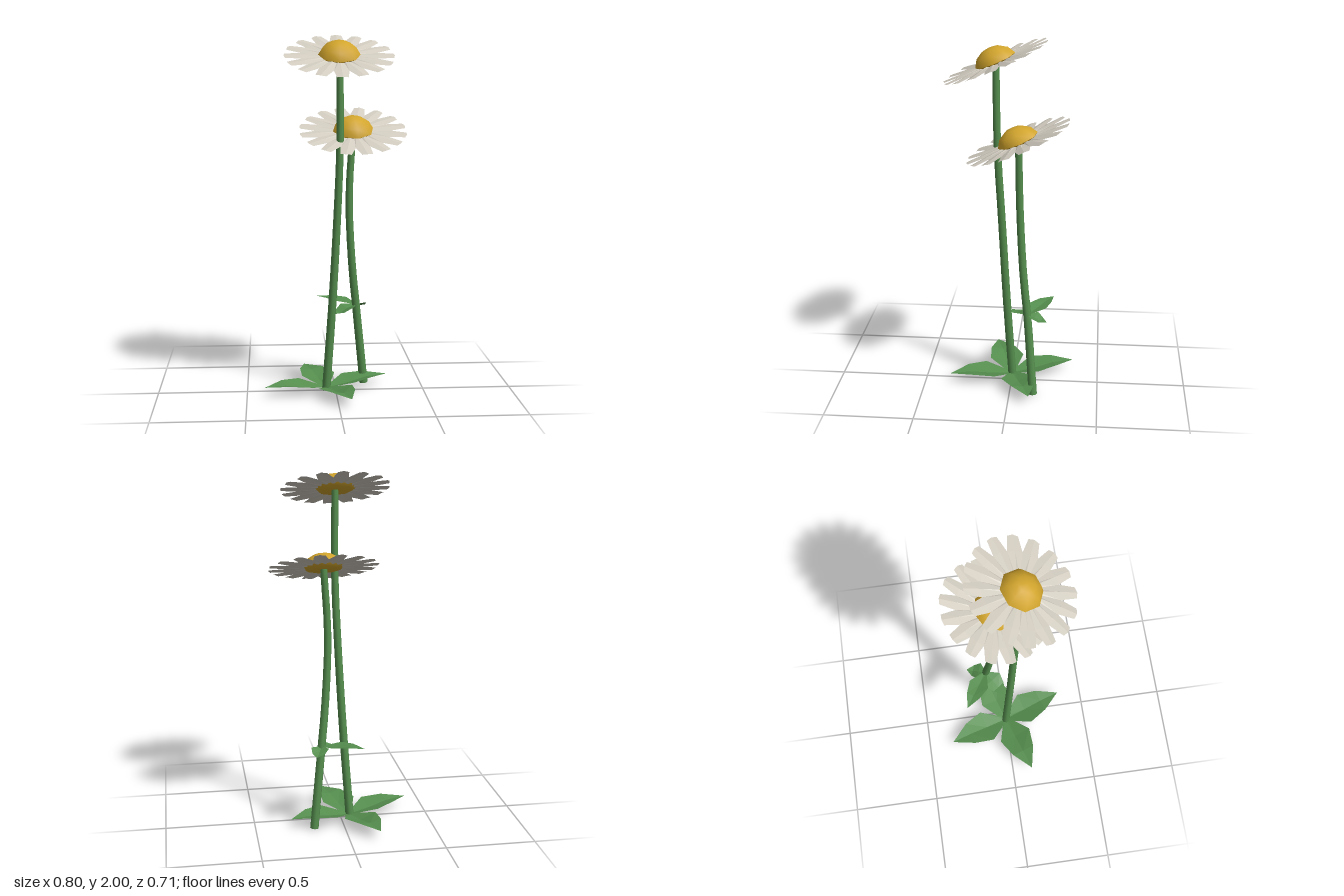
import * as THREE from 'three';
import { toCreasedNormals } from 'three/addons/utils/BufferGeometryUtils.js';

const mat = (name, color, side = THREE.FrontSide) =>
  Object.assign(new THREE.MeshStandardMaterial({ color, side }), { name });
const V = (x, y, z) => new THREE.Vector3(x, y, z);

// Faceted sheet through rows of [left, middle, right] points
function sheet(strips) {
  const pos = [];
  const tri = (...pts) => pts.forEach((p) => pos.push(p.x, p.y, p.z));
  for (const rows of strips) {
    for (let i = 0; i < rows.length - 1; i++) {
      for (let j = 0; j < 2; j++) {
        const a = rows[i][j], b = rows[i][j + 1], c = rows[i + 1][j + 1], d = rows[i + 1][j];
        tri(a, b, c);
        if (c.distanceTo(d) > 1e-6) tri(a, c, d);
      }
    }
  }
  const geo = new THREE.BufferGeometry();
  geo.setAttribute('position', new THREE.Float32BufferAttribute(pos, 3));
  geo.computeVertexNormals();
  return geo;
}

export function createModel() {
  const green = mat('stem green', 0x568f4f);
  const leafGreen = mat('leaf green', 0x568f4f, THREE.DoubleSide);
  const white = mat('petal white', 0xd3cdc1, THREE.DoubleSide);
  const yellow = mat('centre yellow', 0xd2a52c);
  const model = new THREE.Group();
  const add = (parent, name, geo, material) => {
    const mesh = new THREE.Mesh(geo, material);
    mesh.name = name;
    parent.add(mesh);
    return mesh;
  };

  // Stem: tapered tube along a gentle curve, capped at the foot
  function stem(name, points) {
    const curve = new THREE.CatmullRomCurve3(points);
    const segs = 12, sides = 8;
    const geo = new THREE.TubeGeometry(curve, segs, 0.024, sides);
    const p = geo.attributes.position, v = V(0, 0, 0);
    for (let i = 0; i < p.count; i++) {
      const t = Math.floor(i / (sides + 1)) / segs;
      const c = curve.getPointAt(t);
      v.fromBufferAttribute(p, i).sub(c).multiplyScalar(1 - 0.2 * t).add(c);
      p.setXYZ(i, v.x, v.y, v.z);
    }
    add(model, name, geo, green);
    const cap = add(model, name + 'Foot', new THREE.CircleGeometry(0.023, sides), green);
    cap.position.copy(points[0]);
    cap.rotation.x = Math.PI / 2;
  }

  // Flower head: sixteen creased petals around a faceted domed centre
  function flower(name, x, y, z, spin) {
    const head = new THREE.Group();
    head.name = name;
    const n = 16, half = Math.PI / n, strips = [];
    for (let k = 0; k < n; k++) {
      const a = (k * 2 * Math.PI) / n;
      const at = (r, side, h) => V(Math.cos(a) * r - Math.sin(a) * side, h, Math.sin(a) * r + Math.cos(a) * side);
      const row = (r, w, mid, h) => [at(r, -w, -h), at(mid, 0, h), at(r, w, -h)];
      const wedge = (r) => row(r * Math.cos(half), r * Math.sin(half), r, 0.003);
      strips.push([wedge(0.06), wedge(0.212), row(0.294, 0.03, 0.301, 0.002)]);
    }
    add(head, 'petals', sheet(strips), white);
    const profile = [[0, -0.012], [0.095, -0.012], [0.115, 0.004], [0.09, 0.046], [0.048, 0.071], [0, 0.08]]
      .map(([r, h]) => new THREE.Vector2(r, h));
    add(head, 'centre', toCreasedNormals(new THREE.LatheGeometry(profile, 8), 1.1), yellow);
    head.position.set(x, y, z);
    head.rotation.set(Math.PI / 8, spin, 0);
    model.add(head);
  }

  // Leaf: folded blade from base to tip, widest near one third
  function leaf(name, base, tip, width, lift) {
    const dir = tip.clone().sub(base).setY(0).normalize();
    const right = V(-dir.z, 0, dir.x);
    const rows = [[0, 0.15, 0, 0.1], [0.36, 1, 0.4, 1], [0.67, 0.7, 0.95, 0.5], [1, 0, 1, 0]].map(([t, w, rise, fold]) => {
      const mid = base.clone().lerp(tip, t);
      mid.y = base.y + (tip.y - base.y) * rise;
      const edge = (s) => mid.clone().addScaledVector(right, s * w * width).add(V(0, fold * lift, 0));
      return [edge(-1), mid, edge(1)];
    });
    add(model, name, sheet([rows]), leafGreen);
  }

  stem('tallStem', [V(-0.053, 0.003, 0), V(-0.02, 0.5, 0.03), V(0.006, 1, 0.055), V(0.02, 1.4, 0.076), V(0.018, 1.88, 0.083)]);
  stem('shortStem', [V(0.172, 0.003, -0.135), V(0.126, 0.45, -0.1), V(0.098, 0.72, -0.072), V(0.08, 1.1, -0.051), V(0.1, 1.47, -0.045)]);
  flower('tallFlower', 0.015, 1.885, 0.085, 0);
  flower('shortFlower', 0.1, 1.475, -0.042, Math.PI / 16);

  // Rosette of four leaves at the foot of the tall stem
  for (let k = 0; k < 4; k++) {
    const a = 2.82 + (k * Math.PI) / 2;
    leaf('baseLeaf', V(-0.05, 0.015, 0), V(-0.05 + 0.37 * Math.cos(a), 0.056, 0.37 * Math.sin(a)), 0.1, 0.026);
  }

  // Small leaves on the short stem
  const node = V(0.122, 0.475, -0.1);
  leaf('stemLeaf', node, V(-0.095, 0.497, -0.237), 0.06, 0.012);
  leaf('stemLeaf', node, V(-0.02, 0.44, 0), 0.06, 0.015);
  leaf('stemLeaf', node, V(0.165, 0.45, -0.21), 0.05, 0.015);
  return model;
}
